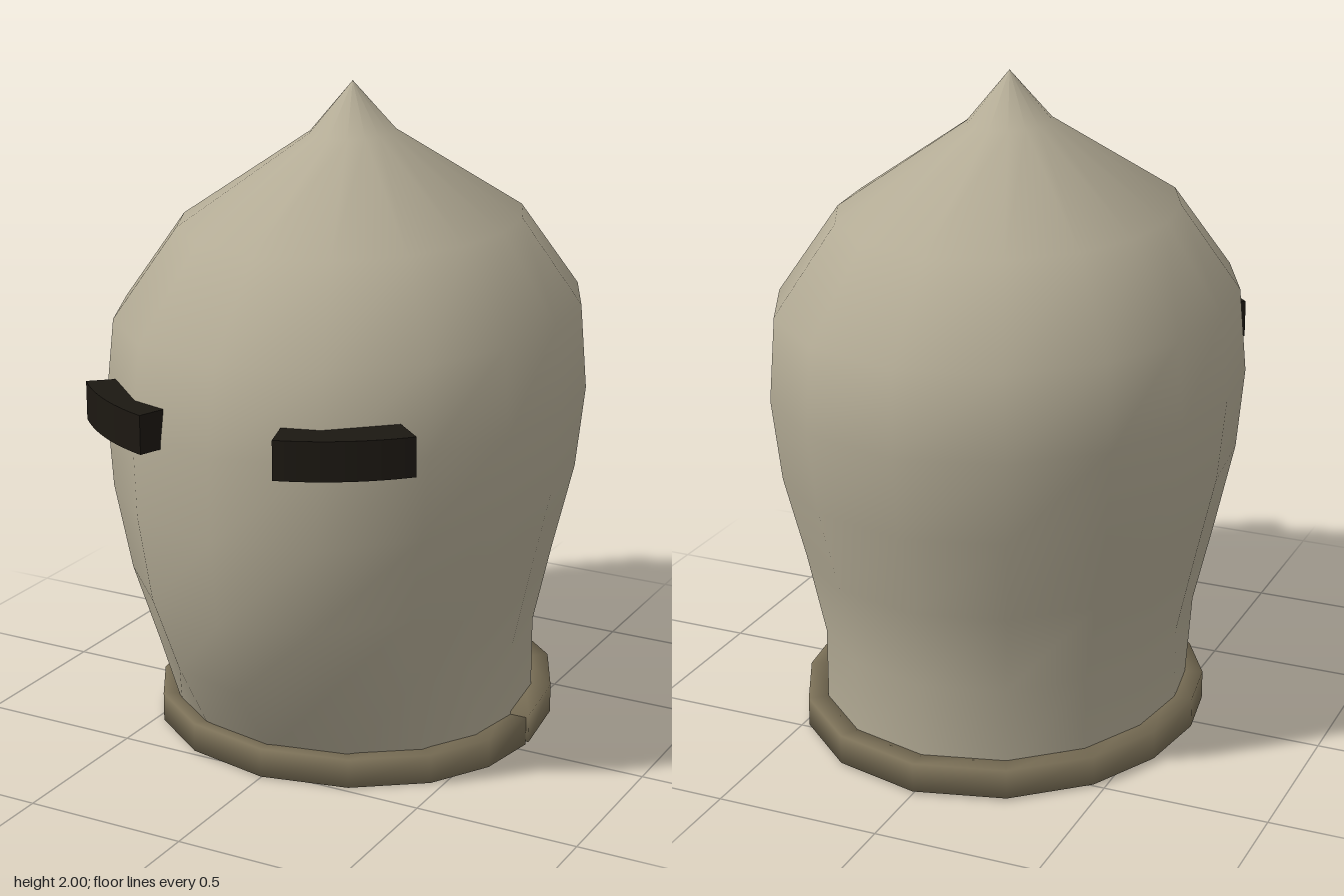
import * as THREE from 'three';

const CZ = -0.04; // depth of the vertical axis
// Quarter of the horizontal cross-section, from the side (+x) to the front (+z)
const QUARTER = [[1, 0], [0.945, 0.34], [0.77, 0.65], [0.44, 0.9], [0, 1]];

// Point i of 16 around the cross-section, running from +x past the front
function around(i, halfWidth, front, back) {
  const k = ((i % 16) + 16) % 16, q = Math.floor(k / 4), r = k % 4;
  const [u, v] = q % 2 ? QUARTER[4 - r] : QUARTER[r];
  const x = q === 0 || q === 3 ? u : -u;
  return [x * halfWidth, CZ + (q < 2 ? v * (front - CZ) : v * (back - CZ))];
}

// Skin a grid of points, optionally closed along rows or columns
function skin(rows, closeRows, closeCols) {
  const R = rows.length, C = rows[0].length, index = [];
  for (let r = 0; r < (closeRows ? R : R - 1); r++) {
    for (let c = 0; c < (closeCols ? C : C - 1); c++) {
      const r2 = (r + 1) % R, c2 = (c + 1) % C;
      const a = r * C + c, b = r2 * C + c, d = r * C + c2, e = r2 * C + c2;
      index.push(a, b, d, b, e, d);
    }
  }
  const g = new THREE.BufferGeometry();
  g.setAttribute('position', new THREE.Float32BufferAttribute(rows.flat(2), 3));
  g.setIndex(index);
  g.computeVertexNormals();
  return g;
}

function part(name, geometry, color) {
  const material = new THREE.MeshStandardMaterial({ color, side: THREE.DoubleSide });
  const mesh = new THREE.Mesh(geometry, material);
  mesh.name = name;
  return mesh;
}

// Pointed helmet shell, open at the neck
function shell() {
  // height, half width, front z, back z
  const levels = [
    [0.06, 0.55, 0.48, -0.69], [0.32, 0.55, 0.665, -0.69], [0.57, 0.605, 0.775, -0.74],
    [0.83, 0.665, 0.807, -0.815], [1.08, 0.69, 0.805, -0.852], [1.335, 0.668, 0.77, -0.84],
    [1.595, 0.492, 0.555, -0.635], [1.85, 0.122, 0.11, -0.19], [2.0, 0.0001, CZ + 0.0001, CZ - 0.0001],
  ];
  const rows = levels.map(([y, w, f, b]) => Array.from({ length: 16 }, (_, i) => {
    const [x, z] = around(i, w, f, b);
    return [x, y, z];
  }));
  return skin(rows, false, true);
}

// Square-section neck band whose two ends meet, slightly offset, on the left side
function neckBand() {
  const profile = [[0.04, 0.005], [0.04, 0.095], [-0.04, 0.095], [-0.04, 0.005]];
  const rows = profile.map(([out, h]) => {
    const row = [];
    for (let i = 0; i <= 16; i++) {
      const t = i / 16 - 0.5;
      const [x, z] = around(i, 0.567 + out, 0.5 + out, -0.712 - out);
      row.push([x + 0.01 * t * (x > 0 ? 1 : 0), h + 0.01 * t, z]);
    }
    return row;
  });
  // Close both ends by collapsing them to their centres
  const mid = (c) => [0, 1, 2].map((k) => rows.reduce((s, r) => s + r[c][k], 0) / 4);
  const start = mid(0), end = mid(16);
  return skin(rows.map((r) => [start, ...r, end]), true, false);
}

// Curved block for an eye slit, swept through an arc about a vertical axis
function eyeSlit(from, to) {
  const shape = new THREE.Shape();
  shape.absarc(0, 0, 0.75, from, to, false);
  shape.absarc(0, 0, 0.6, to, from, true);
  const g = new THREE.ExtrudeGeometry(shape, { depth: 0.115, bevelEnabled: false, curveSegments: 6 });
  return g.rotateX(Math.PI / 2); // shape y becomes +z
}

export function createModel() {
  const model = new THREE.Group();
  model.name = 'helmet';
  model.add(part('shell', shell(), 0xb3ab95));
  model.add(part('neckBand', neckBand(), 0x7c7158));

  const deg = Math.PI / 180;
  const left = part('leftEyeSlit', eyeSlit(42.3 * deg, 72.5 * deg), 0x1c1812);
  left.position.set(0, 1.178, 0.13);
  const right = part('rightEyeSlit', eyeSlit(108.5 * deg, 138 * deg), 0x1c1812);
  right.position.set(0.027, 1.176, 0.11);
  model.add(left, right);
  return model;
}
